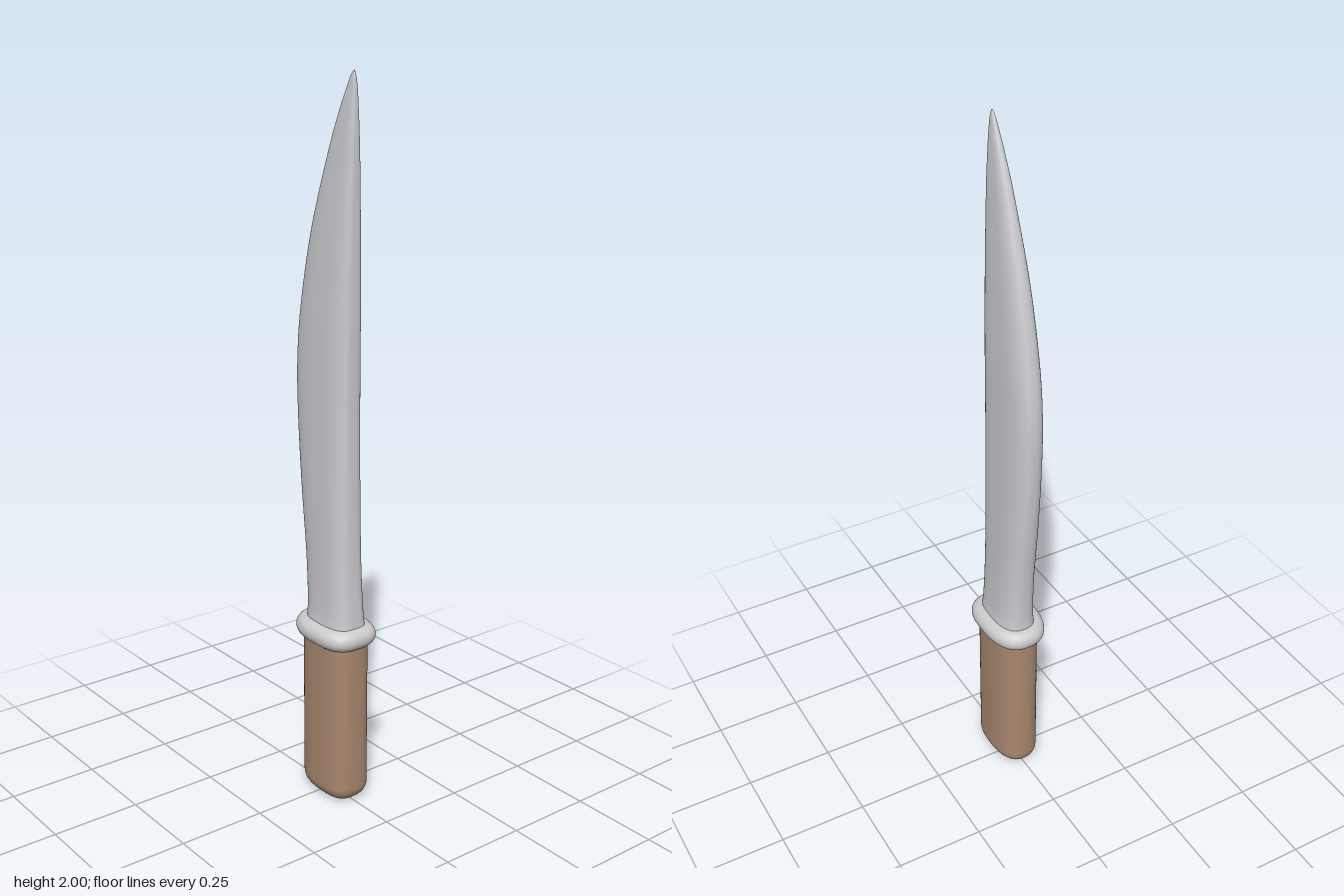
import * as THREE from 'three';

const SIDES = 64;

// Egg-shaped ring: squarish at the front (+z), rounder at the back (-z)
function ring({ y, w, front, back, mid, nf = 3, nb = 2.4 }) {
  const points = [];
  for (let i = 0; i < SIDES; i++) {
    const a = (i / SIDES) * Math.PI * 2;
    const c = Math.cos(a), s = Math.sin(a);
    const n = s > 0 ? nf : nb;
    const x = Math.sign(c) * Math.abs(c) ** (2 / n) * w;
    const z = mid + Math.abs(s) ** (2 / n) * (s > 0 ? front - mid : back - mid);
    points.push(x, y, z);
  }
  return points;
}

// Skin a stack of rings with smooth normals
function loft(name, sections, color) {
  const index = [];
  for (let j = 0; j < sections.length - 1; j++) {
    for (let i = 0; i < SIDES; i++) {
      const k = (i + 1) % SIDES;
      const a = j * SIDES + i, b = j * SIDES + k;
      index.push(a, a + SIDES, b, b, a + SIDES, b + SIDES);
    }
  }
  const geometry = new THREE.BufferGeometry();
  geometry.setAttribute('position', new THREE.Float32BufferAttribute(sections.flatMap(ring), 3));
  geometry.setIndex(index);
  geometry.computeVertexNormals();
  const mesh = new THREE.Mesh(geometry, new THREE.MeshStandardMaterial({ color }));
  mesh.name = name;
  return mesh;
}

// Grip outline moved inwards by a given distance
const grip = (y, inset) => ({
  y, w: Math.max(0.066 - inset, 0.0005), mid: 0.02,
  front: Math.max(0.116 - inset, 0.0205), back: Math.min(-0.086 + inset, 0.0195),
});

function makeHandle() {
  const r = 0.045;
  const sections = [grip(0.003, 0.2), grip(0.003, 0.058)];
  for (let i = 0; i <= 10; i++) {
    const a = (i / 10) * Math.PI / 2;
    sections.push(grip(0.003 + r * (1 - Math.cos(a)), r * (1 - Math.sin(a))));
  }
  sections.push(grip(0.25, 0), grip(0.5, 0));
  return loft('handle', sections, 0xa8886f);
}

// Rounded collar, closed over the top below its rim
function makeGuard() {
  const sections = [];
  for (let i = 0; i <= 20; i++) {
    const a = -Math.PI / 2 + (i / 20) * Math.PI * 1.25;
    sections.push(grip(0.5 + 0.03 * Math.sin(a), 0.01 - 0.03 * Math.cos(a)));
  }
  sections.push(grip(0.513, 0.05), grip(0.513, 0.2));
  return loft('guard', sections, 0xcccccc);
}

function makeBlade() {
  // height, half thickness, spine z, cutting edge z
  const stations = [
    [0.50, 0.062, 0.112, -0.078],
    [0.56, 0.053, 0.107, -0.074],
    [0.70, 0.049, 0.100, -0.083],
    [0.90, 0.048, 0.096, -0.106],
    [1.10, 0.047, 0.095, -0.122],
    [1.25, 0.045, 0.097, -0.125],
    [1.40, 0.042, 0.099, -0.109],
    [1.60, 0.034, 0.102, -0.066],
    [1.80, 0.022, 0.104, 0.000],
    [1.90, 0.014, 0.103, 0.040],
    [1.96, 0.008, 0.101, 0.068],
    [1.99, 0.004, 0.097, 0.084],
    [2.00, 0.0005, 0.094, 0.092],
  ];
  const thickness = new THREE.SplineCurve(stations.map(s => new THREE.Vector2(s[0], s[1])));
  const outline = new THREE.SplineCurve(stations.map(s => new THREE.Vector2(s[2], s[3])));
  const sections = [];
  for (let i = 0; i <= 96; i++) {
    const { x: y, y: w } = thickness.getPoint(i / 96);
    const { x: front, y: back } = outline.getPoint(i / 96);
    sections.push({ y, w, front, back, mid: front * 0.5 + back * 0.5, nf: 3.2, nb: 2.5 });
  }
  return loft('blade', sections, 0xcbcacf);
}

export function createModel() {
  const group = new THREE.Group();
  group.name = 'knife';
  group.add(makeHandle(), makeGuard(), makeBlade());
  return group;
}
